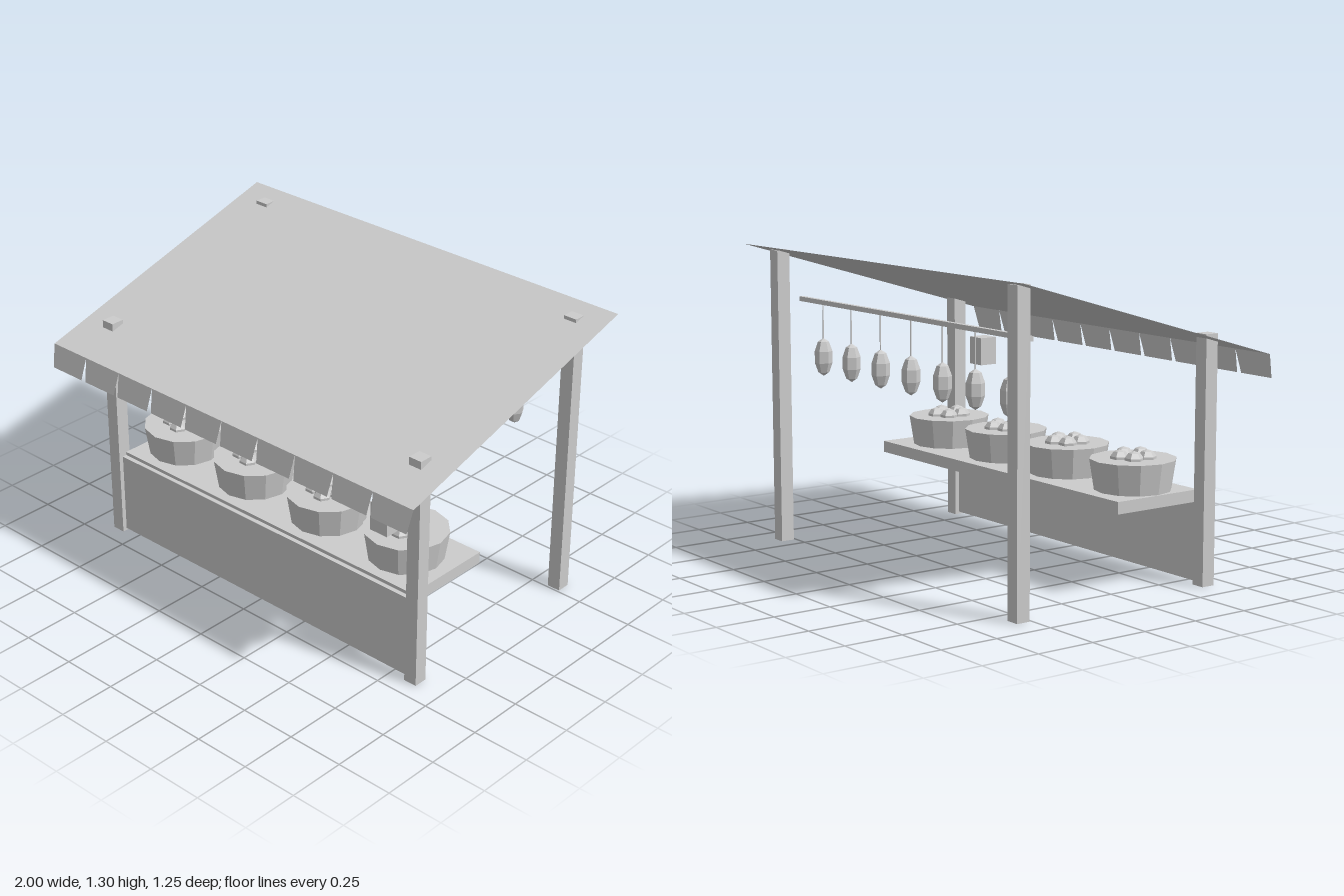
import * as THREE from 'three';

const mat = new THREE.MeshStandardMaterial({ color: 0xcccccc, flatShading: true });
const thinMat = new THREE.MeshStandardMaterial({ color: 0xcccccc, flatShading: true, side: THREE.DoubleSide });

function add(parent, name, geometry, x, y, z, material = mat) {
  const mesh = new THREE.Mesh(geometry, material);
  mesh.name = name;
  mesh.position.set(x, y, z);
  parent.add(mesh);
  return mesh;
}

// Flat four-cornered sheet, corners listed counter-clockwise from its front
function sheet(corners) {
  const g = new THREE.BufferGeometry();
  g.setAttribute('position', new THREE.Float32BufferAttribute(corners.flat(), 3));
  g.setIndex([0, 1, 2, 0, 2, 3]);
  g.computeVertexNormals();
  return g;
}

export function createModel() {
  const stall = new THREE.Group();
  stall.name = 'marketStall';

  // Posts, their tops poking through the awning
  for (const side of [-1, 1]) {
    add(stall, 'frontPost', new THREE.BoxGeometry(0.06, 1.025, 0.06), side * 0.855, 0.5125, 0.395);
    add(stall, 'backPost', new THREE.BoxGeometry(0.06, 1.28, 0.06), side * 0.855, 0.64, -0.54);
  }

  // Counter top and front panel
  add(stall, 'counterTop', new THREE.BoxGeometry(1.65, 0.05, 0.415), 0, 0.365, 0.1775);
  add(stall, 'frontPanel', new THREE.BoxGeometry(1.65, 0.365, 0.02), 0, 0.1925, 0.395);

  // Sloping awning
  add(stall, 'awning', sheet([
    [-1, 0.94, 0.6], [1, 0.94, 0.6], [1, 1.3, -0.63], [-1, 1.3, -0.63],
  ]), 0, 0, 0, thinMat);

  // Valance flaps, slightly narrower at the bottom
  const flap = sheet([
    [-0.088, -0.1, 0.023], [0.088, -0.1, 0.023], [0.1, 0, 0], [-0.1, 0, 0],
  ]);
  for (let i = 0; i < 10; i++) add(stall, 'valanceFlap', flap, -0.9 + i * 0.2, 0.94, 0.6, thinMat);

  // Baskets, each with a ring of fruit
  const basketGeo = new THREE.CylinderGeometry(0.178, 0.158, 0.127, 12);
  const fruitGeo = new THREE.SphereGeometry(0.04, 6, 5);
  for (let i = 0; i < 4; i++) {
    const basket = new THREE.Group();
    basket.name = 'fruitBasket';
    basket.position.set(-0.66 + i * 0.425, 0.39, 0.183);
    add(basket, 'basket', basketGeo, 0, 0.0635, 0);
    for (let k = 0; k < 5; k++) {
      const a = (k / 5) * Math.PI * 2;
      add(basket, 'fruit', fruitGeo, 0.058 * Math.cos(a), 0.125, 0.058 * Math.sin(a));
    }
    stall.add(basket);
  }

  // Back rail with hanging gourds
  add(stall, 'hangingRail', new THREE.BoxGeometry(1.64, 0.02, 0.02), 0, 1.066, -0.455);
  const stringGeo = new THREE.CylinderGeometry(0.003, 0.003, 0.15, 5);
  const gourdGeo = new THREE.SphereGeometry(0.04, 6, 5).scale(1, 2.05, 1);
  for (let i = 0; i < 7; i++) {
    const x = -0.685 + i * 0.2217;
    add(stall, 'string', stringGeo, x, 0.983, -0.455);
    add(stall, 'gourd', gourdGeo, x, 0.83, -0.455);
  }

  // Lantern box beside the left front post
  add(stall, 'lantern', new THREE.BoxGeometry(0.085, 0.125, 0.085), 0.763, 0.768, 0.48);

  return stall;
}
